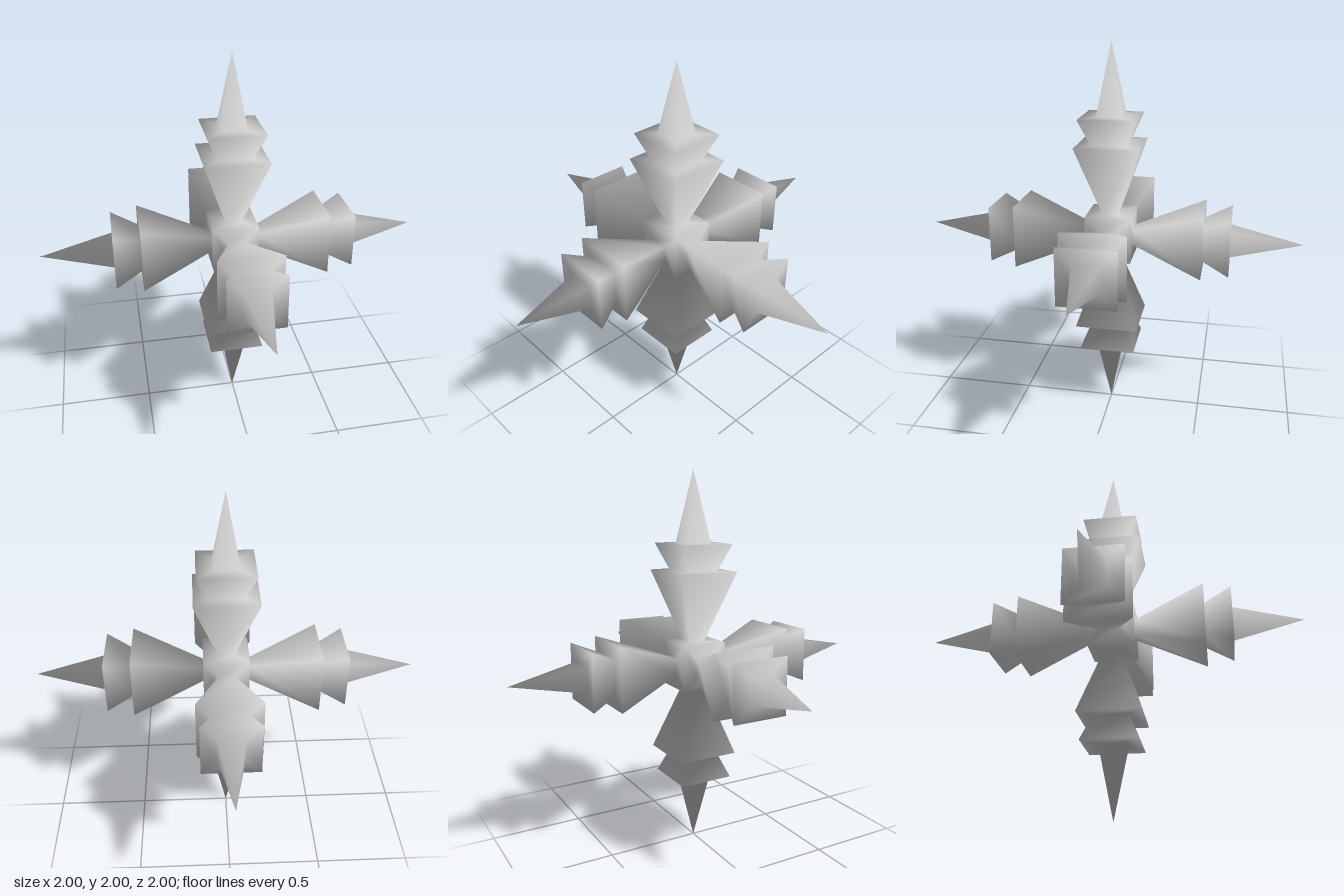
import * as THREE from 'three';

// Square cross-sections of one arm along +z: [distance from centre, half width]
const SECTIONS = [
  [0.12, 0.12],    // face of the core cube
  [0.12, 0.042],   // root of the arm
  [0.49, 0.165],   // inner flare
  [0.49, 0.09],
  [0.63, 0.147],   // outer flare
  [0.63, 0.067],   // foot of the point
];
const TIP = 1;

// Smooth normals: each face counts by the angle it makes at the vertex
function angleWeightedNormals(points, index) {
  const normals = points.map(() => new THREE.Vector3());
  const u = new THREE.Vector3();
  const v = new THREE.Vector3();
  const n = new THREE.Vector3();
  for (let t = 0; t < index.length; t += 3) {
    for (let k = 0; k < 3; k++) {
      const [a, b, c] = [0, 1, 2].map((j) => index[t + (k + j) % 3]);
      u.subVectors(points[b], points[a]);
      v.subVectors(points[c], points[a]);
      n.crossVectors(u, v).normalize();
      normals[a].addScaledVector(n, u.angleTo(v));
    }
  }
  return normals.map((m) => m.normalize());
}

function armGeometry() {
  const points = [];
  const index = [];
  for (const [z, r] of SECTIONS) {
    for (const [x, y] of [[-r, -r], [r, -r], [r, r], [-r, r]]) {
      points.push(new THREE.Vector3(x, y, z));
    }
  }
  const tip = points.length;
  points.push(new THREE.Vector3(0, 0, TIP));

  // Skin between neighbouring sections, then the closing point
  for (let s = 0; s < SECTIONS.length; s++) {
    for (let i = 0; i < 4; i++) {
      const a = s * 4 + i;
      const b = s * 4 + (i + 1) % 4;
      if (s < SECTIONS.length - 1) index.push(a, b, b + 4, a, b + 4, a + 4);
      else index.push(a, b, tip);
    }
  }

  // Core corners are shared by three arms, so their normals run diagonally
  const normals = angleWeightedNormals(points, index);
  for (let i = 0; i < 4; i++) normals[i].copy(points[i]).normalize();

  const geometry = new THREE.BufferGeometry().setFromPoints(points);
  const flat = normals.flatMap((n) => n.toArray());
  geometry.setAttribute('normal', new THREE.Float32BufferAttribute(flat, 3));
  geometry.setIndex(index);
  return geometry;
}

export function createModel() {
  const model = new THREE.Group();
  model.name = 'sixPointedStar';
  const material = new THREE.MeshStandardMaterial({ color: 0xcccccc });
  const geometry = armGeometry();

  // Six identical arms, each carrying one face of the core cube
  const q = Math.PI / 2;
  const arms = [
    ['frontArm', 0, 0], ['backArm', 0, 2 * q],
    ['leftArm', 0, q], ['rightArm', 0, -q],
    ['topArm', -q, 0], ['bottomArm', q, 0],
  ];
  for (const [name, rx, ry] of arms) {
    const arm = new THREE.Mesh(geometry, material);
    arm.name = name;
    arm.rotation.set(rx, ry, 0);
    arm.position.y = 1;
    model.add(arm);
  }
  return model;
}
